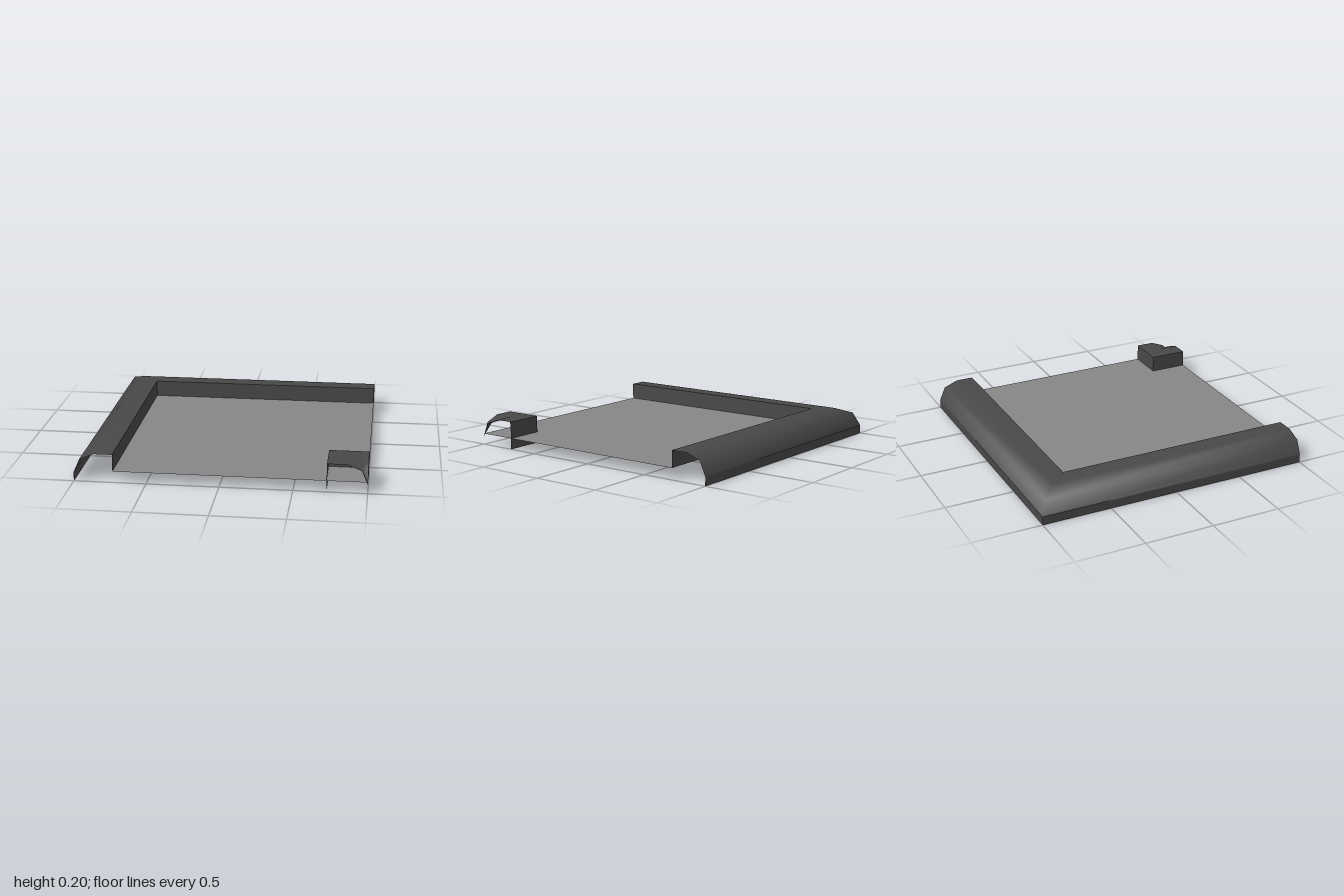
import * as THREE from 'three';

// Curb cross-section: [distance from the outer edge, height]
const CROWN = [[0, 0.062], [0.043, 0.16], [0.144, 0.2], [0.27, 0.2]];

// Sweeps a profile round a mitred right-angle corner; both ends stop at the tile edge (+1).
// cornerAt turns a distance from the curb's outer edge into the x and z of the corner.
function sweepCorner(name, profile, cornerAt, material, smooth) {
  const positions = [];
  const index = [];
  for (const [d, y] of profile) {
    const c = cornerAt(d);
    positions.push(c, y, 1, c, y, c, 1, y, c);
  }
  for (let i = 0; i < profile.length - 1; i++) {
    for (let j = 0; j < 2; j++) {
      const a = i * 3 + j;
      const b = a + 3;
      index.push(a, b, a + 1, b, b + 1, a + 1);
    }
  }
  let geometry = new THREE.BufferGeometry();
  geometry.setAttribute('position', new THREE.Float32BufferAttribute(positions, 3));
  geometry.setIndex(index);
  if (!smooth) geometry = geometry.toNonIndexed();
  geometry.computeVertexNormals();
  const mesh = new THREE.Mesh(geometry, material);
  mesh.name = name;
  return mesh;
}

export function createModel() {
  const group = new THREE.Group();
  group.name = 'cornerTile';

  const paving = new THREE.MeshStandardMaterial({ color: 0x868686, side: THREE.DoubleSide });
  paving.name = 'paving grey';
  const stone = new THREE.MeshStandardMaterial({ color: 0x484848, side: THREE.DoubleSide });
  stone.name = 'curb dark grey';

  // Flat floor, ending at the inner wall of the curb
  const floor = new THREE.Mesh(new THREE.PlaneGeometry(1.73, 1.73).rotateX(-Math.PI / 2), paving);
  floor.position.set(0.135, 0.08, 0.135);
  floor.name = 'floor';
  group.add(floor);

  // Long curb along the left-hand and back edges, hollow underneath
  const curb = new THREE.Group();
  curb.name = 'curb';
  const outer = (d) => d - 1;
  curb.add(
    sweepCorner('curbOuterWall', [[0, 0], [0, 0.062]], outer, stone, false),
    sweepCorner('curbCrown', CROWN, outer, stone, true),
    sweepCorner('curbInnerWall', [[0.27, 0.2], [0.27, 0.08]], outer, stone, false),
  );
  group.add(curb);

  // Small inside-corner piece at the opposite corner
  const block = new THREE.Group();
  block.name = 'insideCorner';
  const inner = (d) => 1 - d;
  const blockCrown = [...CROWN.slice(0, 3), [0.275, 0.2]].reverse();
  block.add(
    sweepCorner('insideCornerWall', [[0.275, 0], [0.275, 0.2]], inner, stone, false),
    sweepCorner('insideCornerCrown', blockCrown, inner, stone, true),
  );
  group.add(block);

  return group;
}
